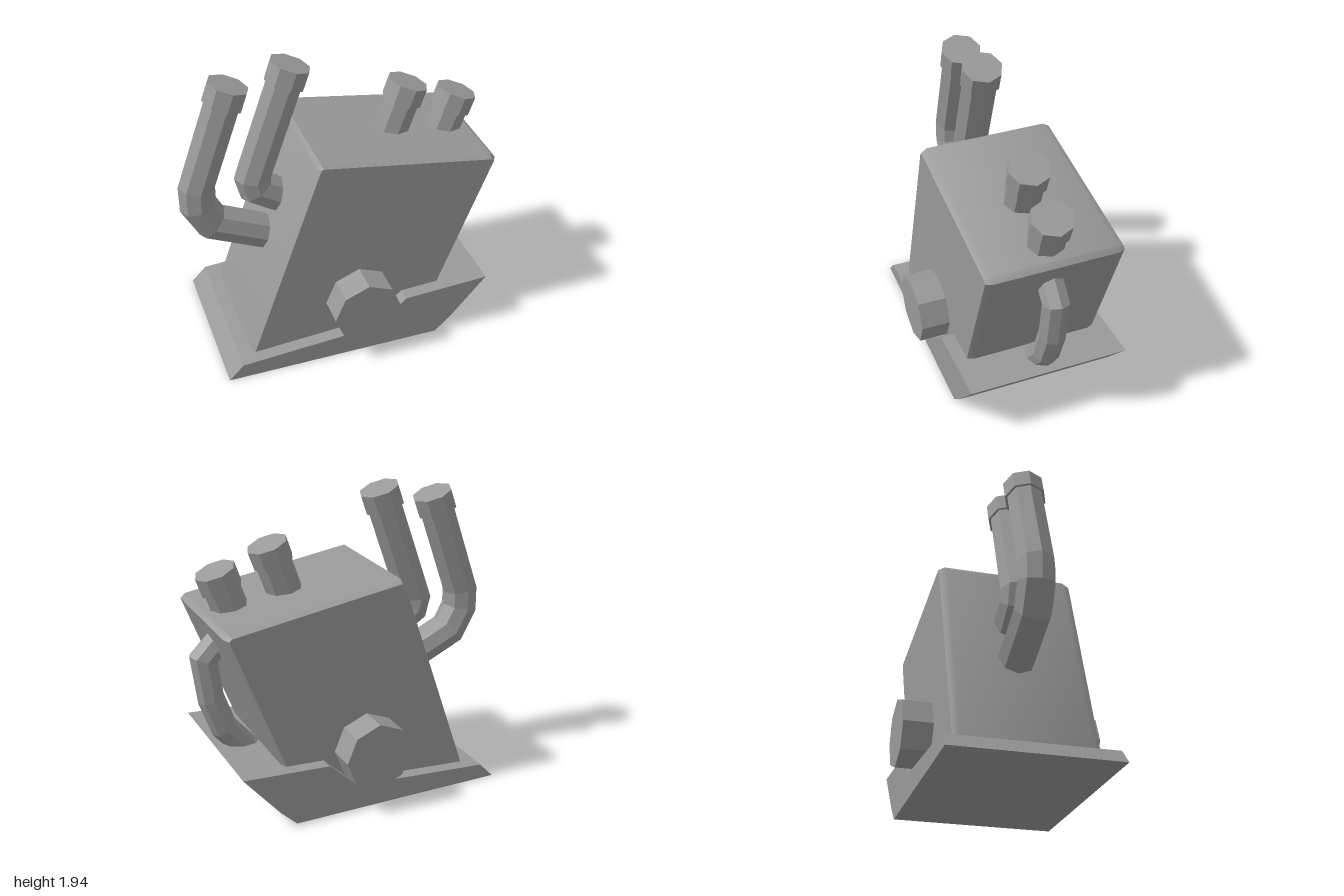
import * as THREE from 'three';
import { toCreasedNormals } from 'three/addons/utils/BufferGeometryUtils.js';

const grey = new THREE.MeshStandardMaterial({ color: 0x999999 });
grey.name = 'grey metal';

const SIDES = 8;
const CAP_LENGTH = 0.125;
const LEAN = new THREE.Vector2(-0.33, -0.944); // downward direction of the leaning pipes

function addMesh(parent, name, geometry) {
  const mesh = new THREE.Mesh(geometry, grey);
  mesh.name = name;
  parent.add(mesh);
  return mesh;
}

function shapeFrom(points) {
  return new THREE.Shape(points.map(([x, y]) => new THREE.Vector2(x, y)));
}

// Faceted, closed, mitred tube along a path in the xy plane
function tube(path, radius) {
  const dirs = path.slice(1).map((p, i) => p.clone().sub(path[i]).normalize());
  const positions = [];
  const index = [];
  path.forEach((p, i) => {
    const before = dirs[Math.max(i - 1, 0)];
    const after = dirs[Math.min(i, dirs.length - 1)];
    const t = before.clone().add(after).normalize();
    const stretch = radius / t.dot(after);
    for (let k = 0; k < SIDES; k++) {
      const a = (k / SIDES) * Math.PI * 2;
      const side = Math.cos(a) * stretch;
      positions.push(p.x - t.y * side, p.y + t.x * side, Math.sin(a) * radius);
    }
  });
  const last = (path.length - 1) * SIDES;
  const startCentre = path.length * SIDES;
  const end = path[path.length - 1];
  positions.push(path[0].x, path[0].y, 0, end.x, end.y, 0);
  for (let k = 0; k < SIDES; k++) {
    const n = (k + 1) % SIDES;
    for (let r = 0; r < last; r += SIDES) {
      index.push(r + k, r + n, r + SIDES + n, r + k, r + SIDES + n, r + SIDES + k);
    }
    index.push(startCentre, n, k, startCentre + 1, last + k, last + n);
  }
  const geometry = new THREE.BufferGeometry();
  geometry.setAttribute('position', new THREE.Float32BufferAttribute(positions, 3));
  geometry.setIndex(index);
  const flat = geometry.toNonIndexed();
  flat.computeVertexNormals();
  return flat;
}

// Pipe with a wider collar at its upper end
function cappedPipe(parent, name, points) {
  const group = new THREE.Group();
  group.name = name;
  const path = points.map(([x, y]) => new THREE.Vector2(x, y));
  const collarEnd = path[0].clone().addScaledVector(LEAN, CAP_LENGTH);
  addMesh(group, 'pipeCollar', tube([path[0], collarEnd], 0.13));
  const start = path[0].clone().addScaledVector(LEAN, CAP_LENGTH * 0.9);
  addMesh(group, 'pipeTube', tube([start, ...path.slice(1)], 0.115));
  parent.add(group);
}

export function createModel() {
  const model = new THREE.Group();
  model.name = 'leaningTank';

  // Wedge-shaped foot
  const base = new THREE.ExtrudeGeometry(shapeFrom([
    [-0.875, 0], [0.535, 0], [0.64, 0.1], [0.875, 0.375],
    [0.315, 0.345], [0.12, 0.165], [-0.78, 0.1],
  ]), { depth: 1.03, bevelEnabled: false });
  base.translate(0, 0, -0.515);
  addMesh(model, 'base', base);

  // Leaning body with narrow bevels on all edges
  const body = new THREE.ExtrudeGeometry(shapeFrom([
    [-0.715, 0.05], [0.465, 0.05], [0.92, 1.235], [0.89, 1.265],
    [-0.22, 1.435], [-0.245, 1.41],
  ]), {
    depth: 0.78, bevelEnabled: true, bevelSegments: 1,
    bevelSize: 0.02, bevelOffset: -0.02, bevelThickness: 0.04,
  });
  body.translate(0, 0, -0.39);
  addMesh(model, 'body', toCreasedNormals(body, 0.5));

  // Axle through the lower body
  const axle = new THREE.CylinderGeometry(0.22, 0.22, 1.23, SIDES).toNonIndexed();
  axle.computeVertexNormals();
  axle.rotateX(Math.PI / 2);
  addMesh(model, 'axle', axle).position.set(0.02, 0.385, 0);

  // Bent exhaust pipes on the right flank
  cappedPipe(model, 'outerExhaust', [
    [-0.65, 1.83], [-0.885, 1.16], [-0.885, 1.03], [-0.805, 0.88], [-0.35, 0.67],
  ]);
  cappedPipe(model, 'innerExhaust', [
    [-0.27, 1.9], [-0.53, 1.16], [-0.51, 1.08], [-0.4, 1.01], [-0.25, 0.93],
  ]);

  // Short filler necks on the top
  [[0.485, 1.64], [0.82, 1.52]].forEach(([x, y], i) => {
    cappedPipe(model, `fillerNeck${i + 1}`, [[x, y], [x + LEAN.x * 0.42, y + LEAN.y * 0.42]]);
  });

  // Curved handle on the left flank
  const handle = [
    [0.74, 1.15], [0.915, 0.97], [0.88, 0.7], [0.805, 0.49], [0.67, 0.33], [0.55, 0.22],
  ].map(([x, y]) => new THREE.Vector2(x, y));
  addMesh(model, 'handle', tube(handle, 0.085));

  return model;
}
